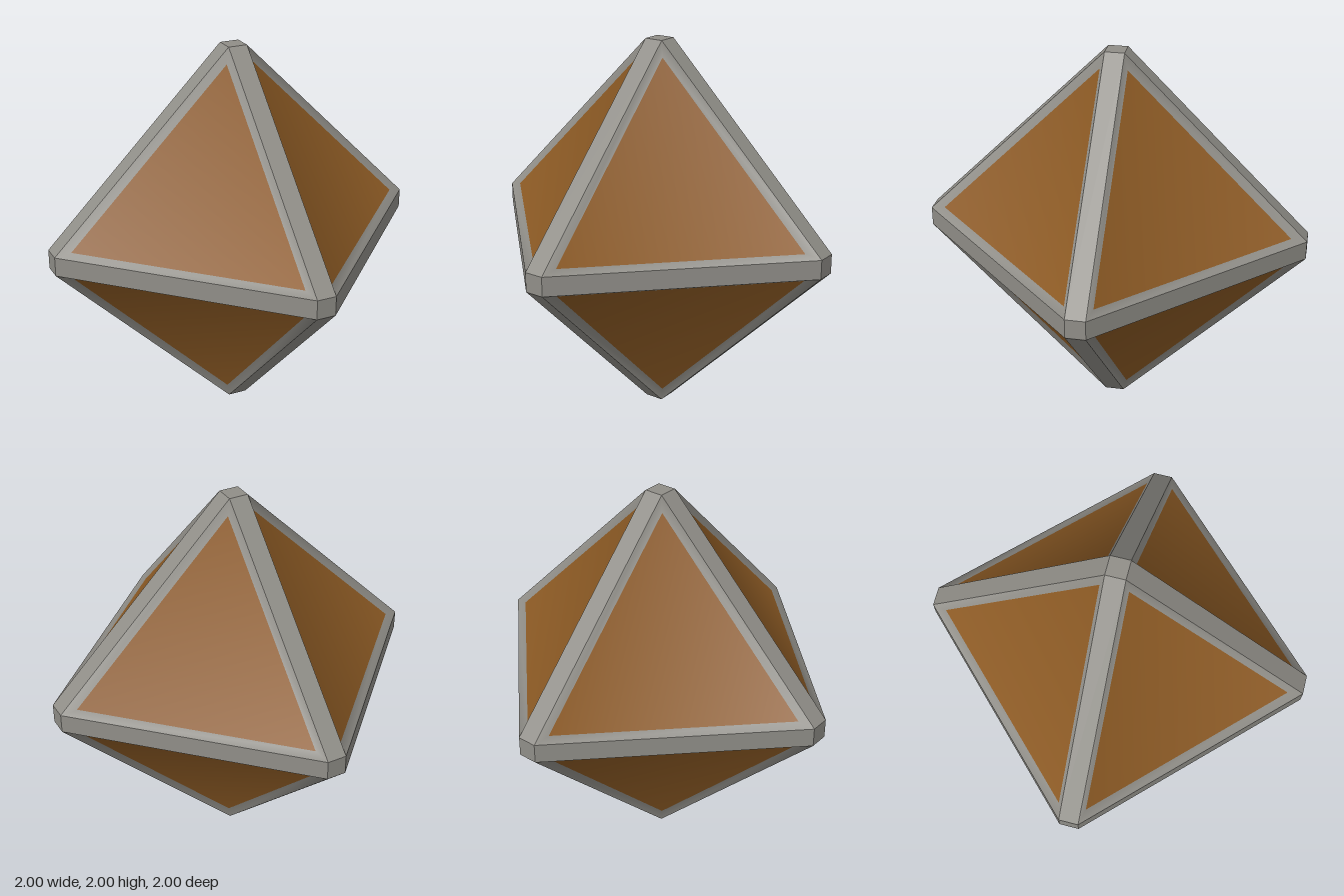
import * as THREE from 'three';
import { toCreasedNormals } from 'three/addons/utils/BufferGeometryUtils.js';

const BEVEL = 0.05;      // half width of the edge bars
const INSET = 0.07;      // panel corner offset from the two other axes
const PANEL_TIP = 0.92;  // panel corner distance along its own axis
const SIGNS = [-1, 1];
const GREY = 0x908e88;
const BROWN = 0x8c5a24;

// Point with value a on the given axis and b, c on the next two axes
function point(axis, a, b, c) {
  const p = [0, 0, 0];
  p[axis] = a;
  p[(axis + 1) % 3] = b;
  p[(axis + 2) % 3] = c;
  return new THREE.Vector3(...p);
}

// Adds a triangle or quad, wound so that it faces away from the centre
function addFace(out, ...corners) {
  const [a, b, c] = corners;
  const normal = b.clone().sub(a).cross(c.clone().sub(a));
  if (normal.dot(a) < 0) corners.reverse();
  for (let i = 1; i < corners.length - 1; i++) {
    for (const v of [corners[0], corners[i], corners[i + 1]]) out.push(v.x, v.y, v.z);
  }
}

function creased(points, angle) {
  const geometry = new THREE.BufferGeometry();
  geometry.setAttribute('position', new THREE.Float32BufferAttribute(points, 3));
  return toCreasedNormals(geometry, angle);
}

// Copies a run of vertices into its own mesh, keeping the shared normals
function part(name, source, start, end, color) {
  const geometry = new THREE.BufferGeometry();
  for (const key of ['position', 'normal']) {
    const values = source.getAttribute(key).array.slice(start, end);
    geometry.setAttribute(key, new THREE.BufferAttribute(values, 3));
  }
  const mesh = new THREE.Mesh(geometry, new THREE.MeshStandardMaterial({ color }));
  mesh.name = name;
  mesh.position.y = 1;
  return mesh;
}

export function createModel() {
  const bars = [];
  const borders = [];
  const panels = [];

  for (let axis = 0; axis < 3; axis++) {
    for (const s of SIGNS) {
      // Square cap on each of the six tips
      addFace(bars,
        point(axis, s, -BEVEL, -BEVEL), point(axis, s, BEVEL, -BEVEL),
        point(axis, s, BEVEL, BEVEL), point(axis, s, -BEVEL, BEVEL));

      // Flat bar along each of the twelve edges
      for (const t of SIGNS) {
        addFace(bars,
          point(axis, s, t * BEVEL, -BEVEL), point(axis, s, t * BEVEL, BEVEL),
          point(axis, s * BEVEL, t, BEVEL), point(axis, s * BEVEL, t, -BEVEL));
      }
    }
  }

  for (const x of SIGNS) for (const y of SIGNS) for (const z of SIGNS) {
    const sign = new THREE.Vector3(x, y, z);
    const rim = [0, 1, 2].map((k) => point(k, 1, BEVEL, BEVEL).multiply(sign));
    const inner = [0, 1, 2].map((k) => point(k, PANEL_TIP, INSET, INSET).multiply(sign));

    // Sloped border leading down to the sunken triangular panel
    for (let k = 0; k < 3; k++) {
      const n = (k + 1) % 3;
      addFace(borders, rim[k], rim[n], inner[n], inner[k]);
    }
    addFace(panels, ...inner);
  }

  // Hard-edged bars; each border shades softly around its corners and into its panel
  const frame = creased(bars, 0.1);
  const recesses = creased([...borders, ...panels], 1);
  const split = borders.length;

  const group = new THREE.Group();
  group.name = 'octahedron';
  group.add(part('frame', frame, 0, bars.length, GREY));
  group.add(part('borders', recesses, 0, split, GREY));
  group.add(part('panels', recesses, split, split + panels.length, BROWN));
  return group;
}
